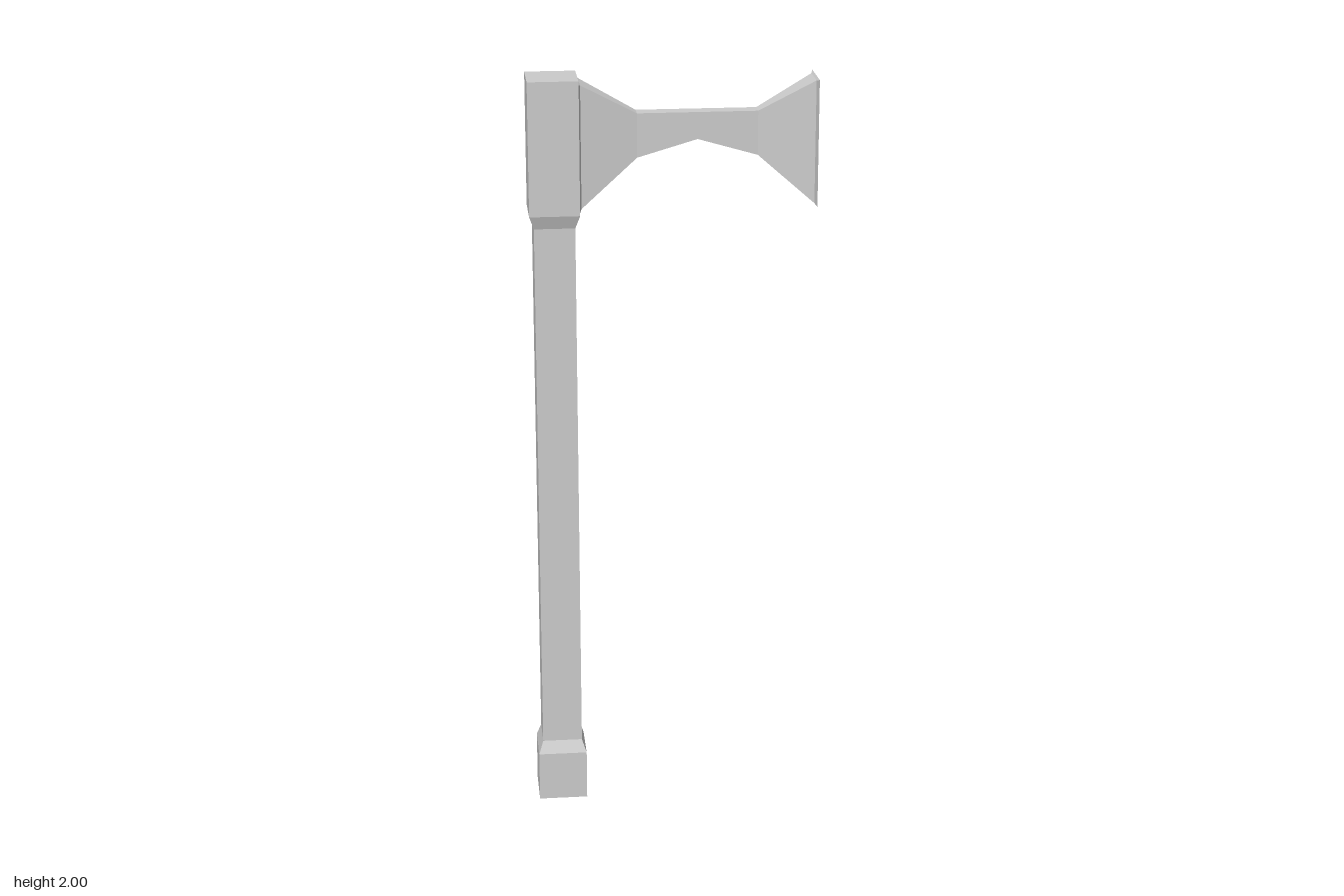
import * as THREE from 'three';

const material = new THREE.MeshStandardMaterial({ color: 0xcccccc, flatShading: true });

// Square post from [half width, height] pairs, closed at both ends
function squarePost(profile) {
  const points = profile.map(([half, y]) => new THREE.Vector2(half * Math.SQRT2, y));
  return new THREE.LatheGeometry(points, 4).rotateY(Math.PI / 4);
}

// Loft of rectangles along x from [x, bottom, top, half depth] rows, closed at both ends
function loftX(sections) {
  const positions = [];
  const index = [];
  for (const [x, y0, y1, d] of sections) {
    positions.push(x, y0, d, x, y0, -d, x, y1, -d, x, y1, d);
  }
  const quad = (a, b, c, d) => index.push(a, b, c, a, c, d);
  for (let s = 0; s < sections.length - 1; s++) {
    for (let k = 0; k < 4; k++) {
      const a = s * 4 + k;
      const b = s * 4 + (k + 1) % 4;
      quad(a, b, b + 4, a + 4);
    }
  }
  const e = (sections.length - 1) * 4;
  quad(3, 2, 1, 0);
  quad(e, e + 1, e + 2, e + 3);
  const geometry = new THREE.BufferGeometry();
  geometry.setAttribute('position', new THREE.Float32BufferAttribute(positions, 3));
  geometry.setIndex(index);
  const flat = geometry.toNonIndexed();
  flat.computeVertexNormals();
  return flat;
}

export function createModel() {
  const model = new THREE.Group();
  model.name = 'bracketPost';

  // Post with thicker base and head blocks
  const post = new THREE.Mesh(squarePost([
    [0, 0], [0.065, 0], [0.065, 0.135], [0.053, 0.17],
    [0.053, 1.617], [0.065, 1.652], [0.065, 2], [0, 2],
  ]), material);
  post.name = 'post';
  post.position.x = -0.305;
  model.add(post);

  // Waisted arm flaring to a thin plate at each end, mirrored about its middle
  const half = [
    [0.305, 1.66, 1.99, 0.065],
    [0.3, 1.665, 1.985, 0.045],
    [0.155, 1.79, 1.905, 0.021],
  ];
  const arm = new THREE.Mesh(loftX([
    ...half.map(([x, ...rest]) => [-x, ...rest]),
    [0, 1.835, 1.905, 0.021],
    ...half.slice().reverse(),
  ]), material);
  arm.name = 'arm';
  arm.position.x = 0.065;
  model.add(arm);

  return model;
}
